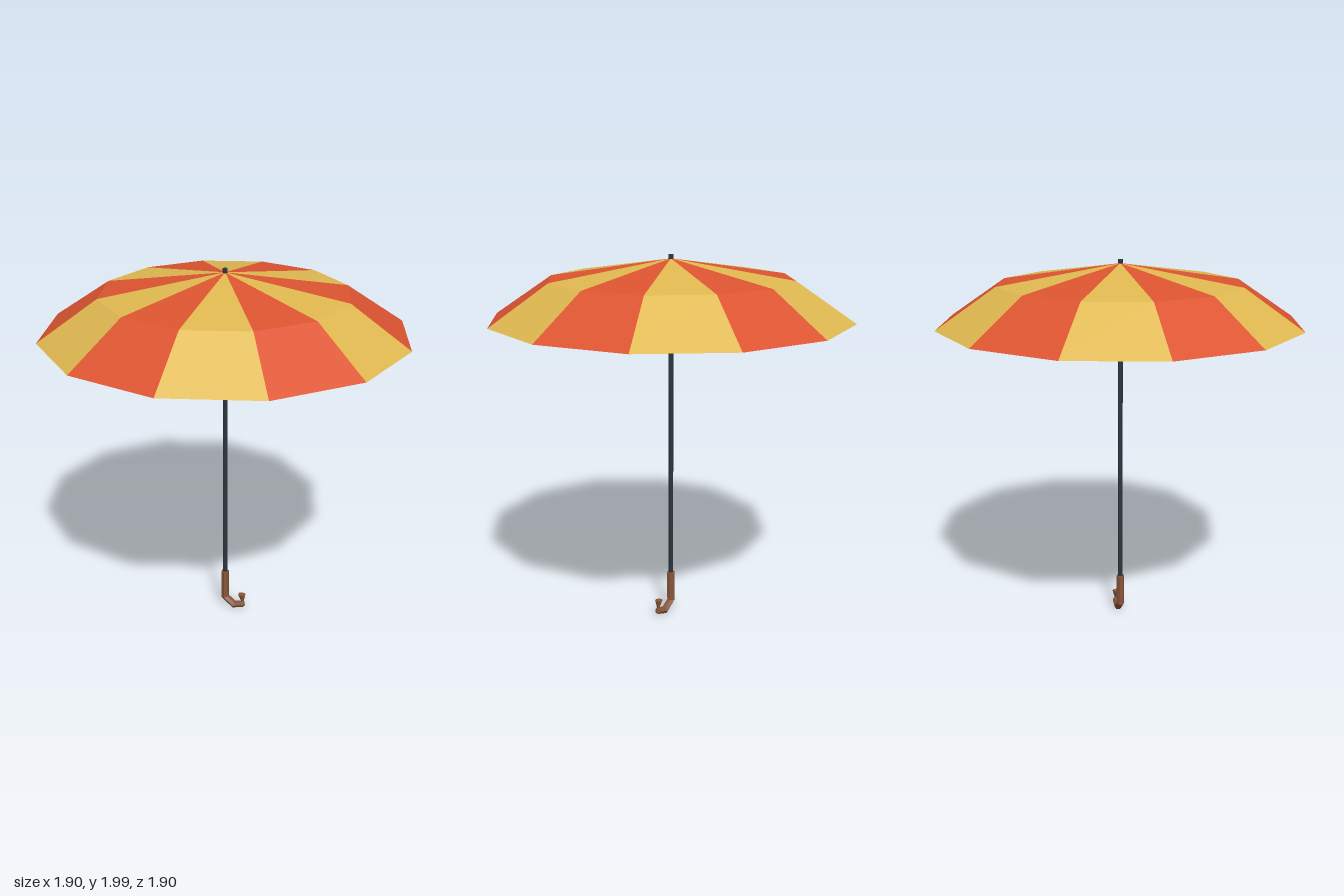
import * as THREE from 'three';

const mat = (name, color, extra = {}) => {
  const m = new THREE.MeshStandardMaterial({ color, ...extra });
  m.name = name;
  return m;
};

// Non-indexed geometry from a list of triangle corners, so every face is flat
function facets(points) {
  const g = new THREE.BufferGeometry().setFromPoints(points);
  g.computeVertexNormals();
  return g;
}

// One canopy panel: a gentle inner triangle and a steeper outer skirt
function panelPoints(i) {
  const at = (r, y, k) => {
    const a = (k * Math.PI) / 6;
    return new THREE.Vector3(r * Math.cos(a), y, r * Math.sin(a));
  };
  const apex = new THREE.Vector3(0, 1.98, 0);
  const m0 = at(0.64, 1.88, i), m1 = at(0.64, 1.88, i + 1);
  const e0 = at(0.95, 1.672, i), e1 = at(0.95, 1.672, i + 1);
  return [apex, m1, m0, m0, m1, e1, m0, e1, e0];
}

// Hexagonal tube in the xy plane; each ring is [x, y, direction in degrees, radius]
function hexTube(rings) {
  const n = 6;
  const loops = rings.map(([x, y, deg, r]) => {
    const t = THREE.MathUtils.degToRad(deg);
    return Array.from({ length: n }, (_, j) => {
      const a = ((j + 0.5) / n) * Math.PI * 2;
      const u = r * Math.cos(a);
      return new THREE.Vector3(x - Math.sin(t) * u, y + Math.cos(t) * u, r * Math.sin(a));
    });
  });
  const pts = [];
  const first = loops[0], last = loops[loops.length - 1];
  for (let i = 0; i < loops.length - 1; i++) {
    for (let j = 0; j < n; j++) {
      const k = (j + 1) % n;
      const a = loops[i][j], b = loops[i][k], c = loops[i + 1][k], d = loops[i + 1][j];
      pts.push(a, b, c, a, c, d);
    }
  }
  // End caps
  for (let j = 1; j < n - 1; j++) {
    pts.push(first[0], first[j + 1], first[j], last[0], last[j], last[j + 1]);
  }
  return facets(pts);
}

export function createModel() {
  const group = new THREE.Group();
  group.name = 'umbrella';
  const red = mat('red cloth', 0xdc5430, { side: THREE.DoubleSide });
  const yellow = mat('yellow cloth', 0xdfb850, { side: THREE.DoubleSide });
  const metal = mat('dark metal', 0x2d333f, { flatShading: true });
  const wood = mat('brown wood', 0x87563a);

  const add = (name, geometry, material, parent = group) => {
    const mesh = new THREE.Mesh(geometry, material);
    mesh.name = name;
    parent.add(mesh);
    return mesh;
  };

  // Canopy of twelve alternating panels
  const canopy = new THREE.Group();
  canopy.name = 'canopy';
  group.add(canopy);
  for (let i = 0; i < 12; i++) {
    add('canopyPanel', facets(panelPoints(i)), i % 2 ? red : yellow, canopy);
  }

  // Shaft running through the canopy to the tip
  const shaft = add('shaft', new THREE.CylinderGeometry(0.013, 0.013, 1.8, 8), metal);
  shaft.position.y = 1.1;

  // Hooked handle with a pinched neck and flared end
  add('handle', hexTube([
    [0, 0.245, -90, 0.022],
    [0, 0.075, -75, 0.022],
    [0.054, 0.03, -14, 0.022],
    [0.112, 0.045, 20, 0.018],
    [0.106, 0.064, 85, 0.008],
    [0.101, 0.106, 90, 0.022],
  ]), wood);

  return group;
}
